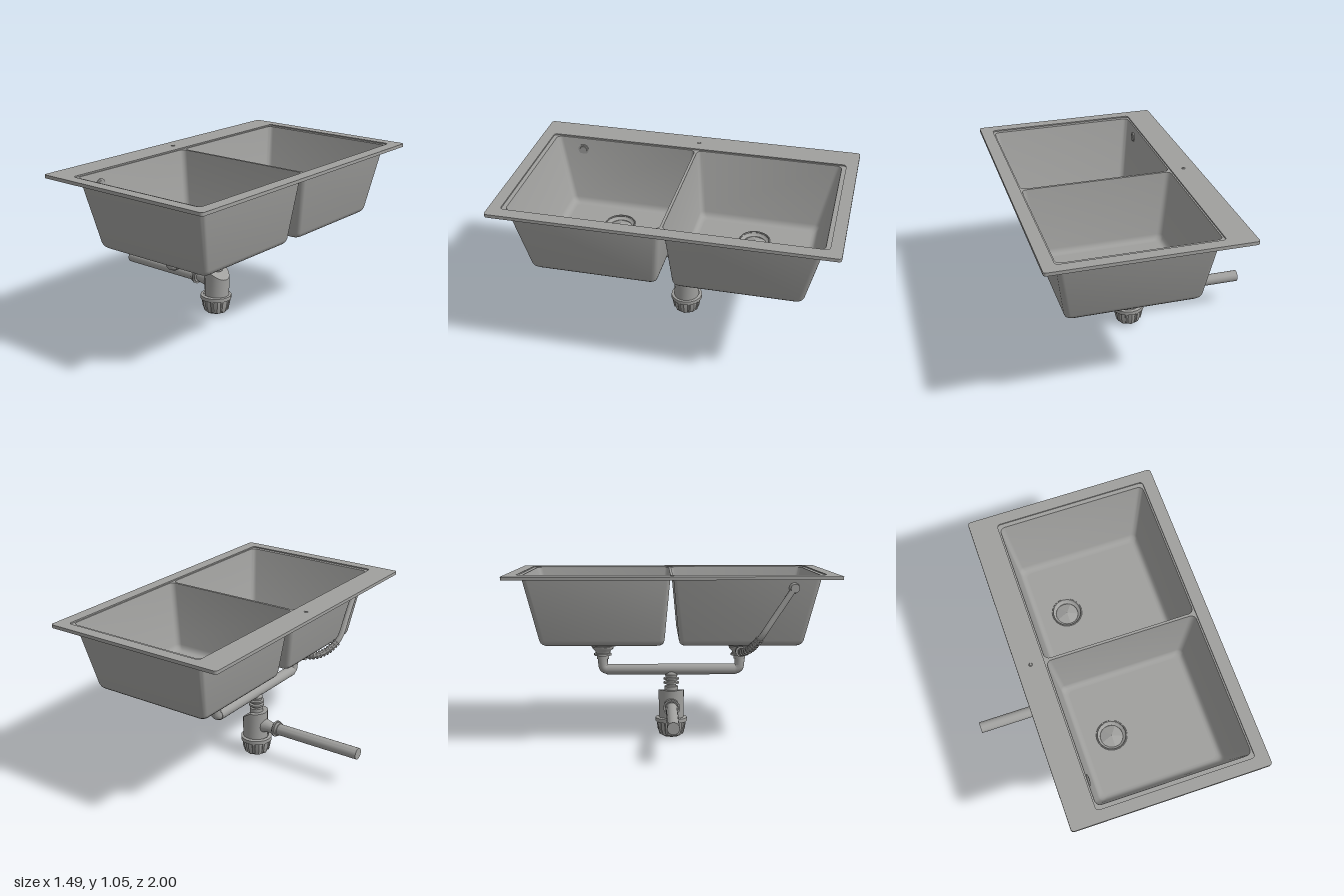
import * as THREE from 'three';
import { toCreasedNormals } from 'three/addons/utils/BufferGeometryUtils.js';

const steel = new THREE.MeshStandardMaterial({ color: 0xa0a09e, side: THREE.DoubleSide });
steel.name = 'grey steel';

const V = (x, y, z) => new THREE.Vector3(x, y, z);

function add(parent, name, geometry, crease = 0.6) {
  const mesh = new THREE.Mesh(toCreasedNormals(geometry, crease), steel);
  mesh.name = name;
  parent.add(mesh);
  return mesh;
}

// Straight round bar from a to b
function rod(parent, name, a, b, r0, r1 = r0, sides = 20) {
  const d = b.clone().sub(a);
  const mesh = add(parent, name, new THREE.CylinderGeometry(r1, r0, d.length(), sides));
  mesh.position.copy(a).addScaledVector(d, 0.5);
  mesh.quaternion.setFromUnitVectors(V(0, 1, 0), d.normalize());
  return mesh;
}

// Turned part from [radius, height] pairs, bottom to top
function turned(parent, name, profile, sides = 20) {
  return add(parent, name, new THREE.LatheGeometry(profile.map(p => new THREE.Vector2(...p)), sides));
}

function bent(parent, name, points, r) {
  return add(parent, name, new THREE.TubeGeometry(new THREE.CatmullRomCurve3(points, false, 'centripetal'), 32, r, 14), 1);
}

// Rounded rectangle outline, as points in x and z
function outline([x0, x1, z0, z1], r) {
  const pts = [];
  [[x1 - r, z1 - r], [x0 + r, z1 - r], [x0 + r, z0 + r], [x1 - r, z0 + r]].forEach(([cx, cz], k) => {
    for (let i = 0; i <= 5; i++) {
      const a = (k + i / 5) * Math.PI / 2;
      pts.push(new THREE.Vector2(cx + r * Math.cos(a), cz + r * Math.sin(a)));
    }
  });
  return pts;
}

// Flat plate with holes, lying between y0 and y1
function plate(parent, name, outer, holes, y0, y1) {
  const shape = new THREE.Shape(outer);
  shape.holes = holes.map(h => new THREE.Path(h));
  const g = new THREE.ExtrudeGeometry(shape, { depth: y1 - y0, bevelEnabled: false, curveSegments: 8 });
  g.rotateX(Math.PI / 2).translate(0, y1, 0);
  return add(parent, name, g);
}

const TOP = 1.036, FLOOR = 0.605, DRAIN_Z = 0.43;
const mouth = s => s > 0 ? [-0.265, 0.655, 0.008, 0.905] : [-0.265, 0.655, -0.905, -0.008];
const base = s => s > 0 ? [-0.2, 0.59, 0.047, 0.8] : [-0.2, 0.59, -0.8, -0.047];

// Tapered bowl: rounded outlines joined from the mouth to the floor
function bowl(s) {
  const group = new THREE.Group();
  group.name = s > 0 ? 'frontBowl' : 'backBowl';
  const levels = [[TOP, 0], [0.64, 0], [0.622, 0.004], [0.611, 0.013], [0.606, 0.022], [FLOOR, 0.034]];
  const rings = levels.map(([y, inset]) => {
    const t = (TOP - y) / (TOP - FLOOR);
    const b = base(s);
    const rect = mouth(s).map((v, i) => v + (b[i] - v) * t + (i % 2 ? -inset : inset));
    return outline(rect, 0.032);
  });
  const pos = [], idx = [], n = rings[0].length;
  rings.forEach((ring, k) => ring.forEach(p => pos.push(p.x, levels[k][0], p.y)));
  for (let k = 0; k < rings.length - 1; k++) {
    for (let i = 0; i < n; i++) {
      const a = k * n + i, b = k * n + (i + 1) % n;
      idx.push(a, b, a + n, b, b + n, a + n);
    }
  }
  const g = new THREE.BufferGeometry();
  g.setAttribute('position', new THREE.Float32BufferAttribute(pos, 3));
  g.setIndex(idx);
  add(group, 'bowlWalls', g, 0.9);

  const floor = new THREE.Shape(rings[rings.length - 1]);
  floor.holes.push(new THREE.Path().absarc(0, s * DRAIN_Z, 0.09, 0, Math.PI * 2, true));
  add(group, 'bowlFloor', new THREE.ShapeGeometry(floor, 16).rotateX(Math.PI / 2).translate(0, FLOOR, 0));
  return group;
}

// Drain cup under a bowl, with its strainer and elbow to the cross pipe
function drain(s) {
  const group = new THREE.Group();
  group.name = s > 0 ? 'frontDrain' : 'backDrain';
  const z = s * DRAIN_Z;
  const cup = turned(group, 'drainCup', [[0.03, 0.5], [0.037, 0.5], [0.037, 0.523], [0.055, 0.523], [0.055, 0.535],
    [0.044, 0.537], [0.048, 0.55], [0.066, 0.567], [0.07, 0.585], [0.084, 0.592], [0.092, 0.606]]);
  cup.position.z = z;
  const ring = add(group, 'drainRing', new THREE.TorusGeometry(0.09, 0.005, 6, 24).rotateX(Math.PI / 2), 1);
  ring.position.set(0, 0.606, z);
  const strainer = add(group, 'strainer', new THREE.ConeGeometry(0.086, 0.025, 5), 0.05);
  strainer.position.set(0, 0.593, z);
  bent(group, 'elbow', [V(0, 0.52, z), V(0, 0.475, z), V(0, 0.445, z * 0.985), V(0, 0.433, z * 0.93), V(0, 0.433, z * 0.86)], 0.031);
  return group;
}

export function createModel() {
  const model = new THREE.Group();
  model.name = 'doubleSink';

  // Rim: thin top sheet, turned-down lip and a lower ledge around the bowls
  const rim = new THREE.Group();
  rim.name = 'rim';
  model.add(rim);
  const edge = outline([-0.44, 0.74, -1, 1], 0.018);
  const step = outline([-0.274, 0.664, -0.93, 0.93], 0.02);
  plate(rim, 'rimSheet', edge, [step], 1.037, 1.045);
  plate(rim, 'rimLip', edge, [outline([-0.432, 0.732, -0.992, 0.992], 0.012)], 1.025, 1.037);
  plate(rim, 'bowlLedge', outline([-0.285, 0.675, -0.94, 0.94], 0.02),
    [1, -1].map(s => outline(mouth(s), 0.032)), 1.031, 1.037);
  rod(rim, 'tapHoleCap', V(-0.355, 1.045, 0), V(-0.355, 1.049, 0), 0.012, 0.008, 8);

  for (const s of [1, -1]) model.add(bowl(s), drain(s));

  // Cross pipe joining both drains
  rod(model, 'crossPipe', V(0, 0.433, -0.405), V(0, 0.433, 0.405), 0.034);

  // Overflow outlet and hose behind the front bowl
  const overflow = new THREE.Group();
  overflow.name = 'overflow';
  model.add(overflow);
  rod(overflow, 'overflowInlet', V(-0.3, 0.965, 0.735), V(-0.25, 0.965, 0.735), 0.027, 0.034, 14);
  rod(overflow, 'overflowGrate', V(-0.255, 0.965, 0.735), V(-0.247, 0.965, 0.735), 0.026, 0.022, 12);
  const hose = [V(-0.283, 0.97, 0.735), V(-0.283, 0.82, 0.635), V(-0.282, 0.69, 0.55), V(-0.262, 0.645, 0.52),
    V(-0.215, 0.592, 0.48), V(-0.16, 0.565, 0.445), V(-0.1, 0.557, 0.43), V(-0.03, 0.557, 0.43)];
  bent(overflow, 'overflowHose', hose, 0.018);
  const curve = new THREE.CatmullRomCurve3(hose, false, 'centripetal');
  for (let i = 0; i < 10; i++) {
    const t = 0.56 + i * 0.033;
    const p = curve.getPointAt(t), d = curve.getTangentAt(t).multiplyScalar(0.006);
    rod(overflow, 'hoseRib', p.clone().sub(d), p.clone().add(d), 0.025, 0.025, 10);
  }
  rod(overflow, 'hoseNut', V(-0.1, 0.557, 0.43), V(-0.08, 0.557, 0.43), 0.034, 0.034, 10);

  // Bottle trap below the middle of the cross pipe
  const trap = new THREE.Group();
  trap.name = 'trap';
  model.add(trap);
  turned(trap, 'trapNeck', [[0.042, 0.29], [0.042, 0.325], [0.03, 0.328], [0.03, 0.34], [0.048, 0.342], [0.048, 0.353],
    [0.032, 0.356], [0.032, 0.366], [0.048, 0.368], [0.048, 0.378], [0.035, 0.382], [0.04, 0.4], [0.03, 0.425]]);
  const body = new THREE.CylinderGeometry(0.08, 0.078, 0.2, 20, 1).translate(0.008, 0.21, 0);
  const p = body.attributes.position;
  for (let i = 0; i < p.count; i++) { // shoulder slopes down to +x
    if (p.getY(i) > 0.2) p.setY(i, 0.305 - 0.7 * Math.max(0, p.getX(i)));
  }
  add(trap, 'trapBody', body);
  turned(trap, 'trapCollar', [[0.08, 0.1], [0.1, 0.102], [0.1, 0.126], [0.08, 0.13]], 16);
  turned(trap, 'trapCup', [[0, 0.002], [0.05, 0.006], [0.074, 0.018], [0.088, 0.06], [0.092, 0.112], [0, 0.114]], 8);
  for (let i = 0; i < 8; i++) { // grip ribs on the cup
    const a = (i + 0.5) / 8 * Math.PI * 2, c = Math.cos(a), s = Math.sin(a);
    rod(trap, 'cupRib', V(0.074 * c, 0.03, 0.074 * s), V(0.086 * c, 0.105, 0.086 * s), 0.009, 0.012, 6);
  }

  // Waste pipe leaving the trap sideways
  rod(trap, 'trapOutlet', V(-0.06, 0.212, 0), V(-0.15, 0.212, 0), 0.046, 0.026);
  rod(trap, 'wasteNut', V(-0.142, 0.215, 0), V(-0.178, 0.215, 0), 0.043, 0.043, 12);
  rod(trap, 'wasteFlange', V(-0.15, 0.215, 0), V(-0.16, 0.215, 0), 0.052, 0.052, 14);
  rod(trap, 'wastePipe', V(-0.15, 0.215, 0), V(-0.745, 0.215, 0), 0.036);

  return model;
}
